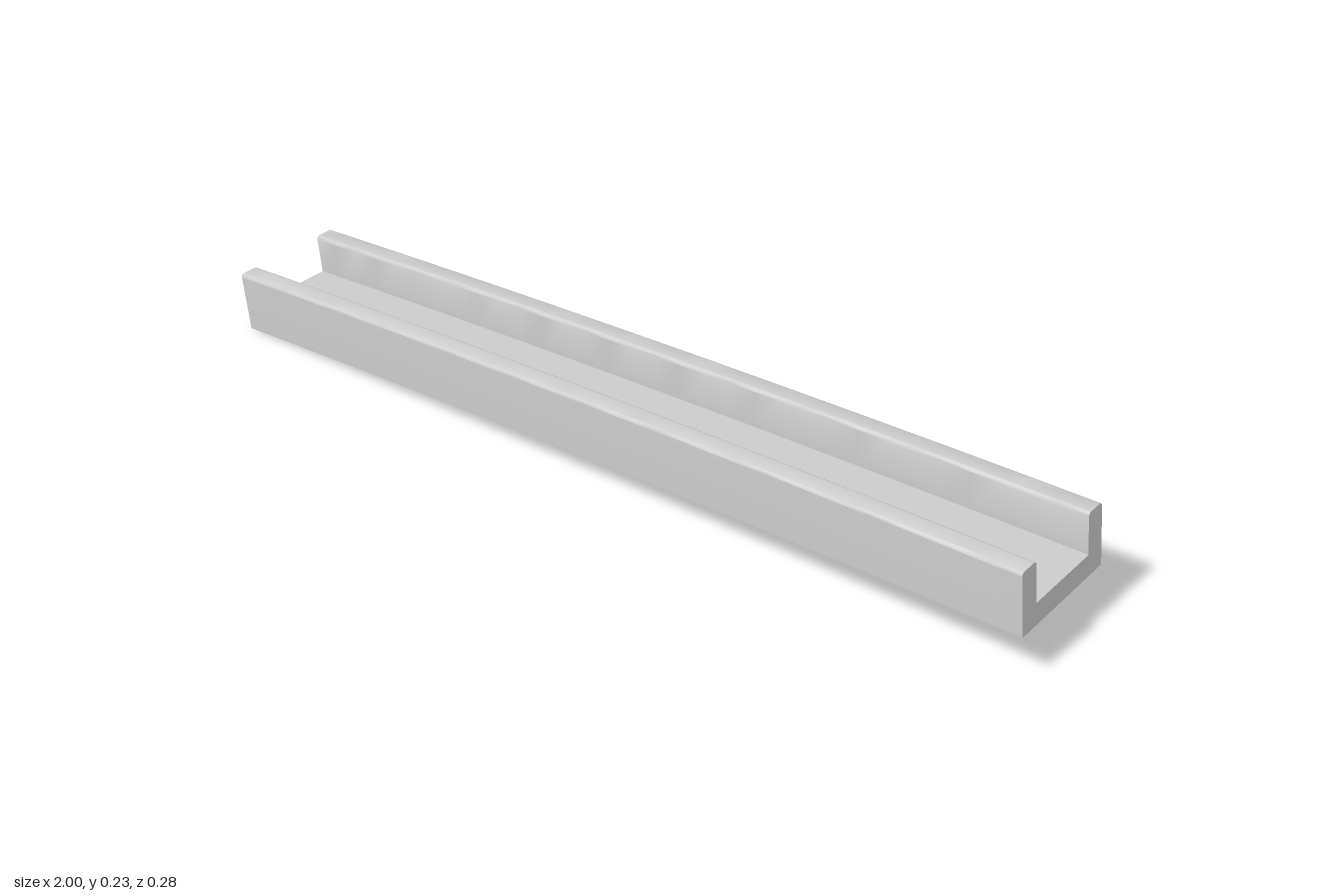
import * as THREE from 'three';
import { toCreasedNormals } from 'three/addons/utils/BufferGeometryUtils.js';

const HALF = 0.14, INNER = 0.092, FLOOR = 0.046, HEIGHT = 0.133, R = 0.008;

// U-shaped section with rounded rail tops
function channelSection() {
  const s = new THREE.Shape();
  s.moveTo(-HALF, 0);
  s.lineTo(HALF, 0);
  s.lineTo(HALF, HEIGHT - R);
  s.absarc(HALF - R, HEIGHT - R, R, 0, Math.PI / 2);
  s.absarc(INNER + R, HEIGHT - R, R, Math.PI / 2, Math.PI);
  s.lineTo(INNER, FLOOR);
  s.lineTo(-INNER, FLOOR);
  s.absarc(-INNER - R, HEIGHT - R, R, 0, Math.PI / 2);
  s.absarc(-HALF + R, HEIGHT - R, R, Math.PI / 2, Math.PI);
  s.closePath();
  return s;
}

export function createModel() {
  const group = new THREE.Group();
  group.name = 'curvedChannel';

  const geo = new THREE.ExtrudeGeometry(channelSection(), {
    depth: 1, steps: 32, curveSegments: 5, bevelEnabled: false,
  });

  // Bend the straight channel along a shallow rising arc with leaning end faces
  const p = geo.attributes.position;
  for (let i = 0; i < p.count; i++) {
    const s = p.getX(i), h = p.getY(i), t = p.getZ(i);
    p.setXYZ(i,
      -0.985 + 1.985 * t - 0.015 * h / HEIGHT,
      0.1 * t + 0.042 * t * (1 - t) + h + 0.001 * t,
      -s);
  }

  const channel = new THREE.Mesh(
    toCreasedNormals(geo, Math.PI / 5),
    new THREE.MeshStandardMaterial({ color: 0xcccccc }));
  channel.name = 'channelRail';
  group.add(channel);
  return group;
}
